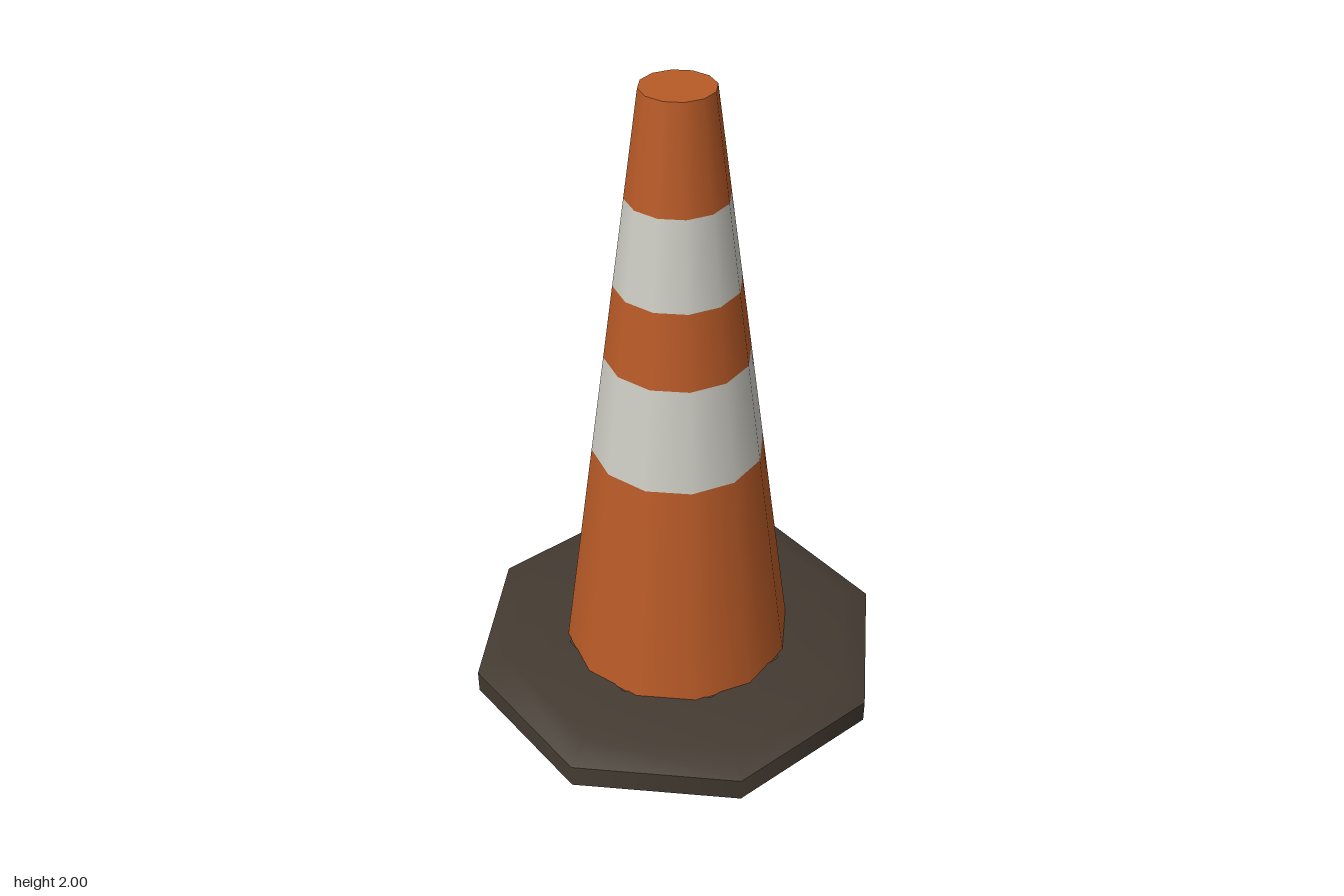
import * as THREE from 'three';

const material = (name, color) => {
  const m = new THREE.MeshStandardMaterial({ color });
  m.name = name;
  return m;
};

export function createModel() {
  const orange = material('orange plastic', 0xb85a27);
  const white = material('reflective white', 0xcccbc3);
  const rubber = material('dark rubber', 0x443b32);

  const group = new THREE.Group();
  group.name = 'trafficCone';
  const add = (name, geometry, mat, y = 0) => {
    const mesh = new THREE.Mesh(geometry, mat);
    mesh.name = name;
    mesh.position.y = y;
    group.add(mesh);
    return mesh;
  };

  // Octagonal foot: straight rim, then a gently domed top
  const rim = new THREE.CylinderGeometry(0.666, 0.666, 0.075, 8, 1, false, Math.PI / 8);
  add('baseRim', rim, rubber, 0.0375);
  const dome = [[0.666, 0.075], [0.574, 0.112], [0.36, 0.125]]
    .map(([r, y]) => new THREE.Vector2(r, y));
  add('baseTop', new THREE.LatheGeometry(dome, 8, Math.PI / 8), rubber);

  // Twelve-sided tapering body, split into colour bands
  const radiusAt = (y) => 0.36 - (y - 0.12) * 0.1346;
  const bands = [
    ['lowerBody', 0.12, 0.855, orange],
    ['lowerStripe', 0.855, 1.18, white],
    ['middleBody', 1.18, 1.415, orange],
    ['upperStripe', 1.415, 1.685, white],
    ['upperBody', 1.685, 2, orange],
  ];
  for (const [name, y0, y1, mat] of bands) {
    const band = new THREE.CylinderGeometry(radiusAt(y1), radiusAt(y0), y1 - y0, 12, 1, true);
    add(name, band, mat, (y0 + y1) / 2);
  }

  // Flat closed tip
  const tip = new THREE.CircleGeometry(radiusAt(2), 12).rotateX(-Math.PI / 2);
  add('tipCap', tip, orange, 2);

  return group;
}
